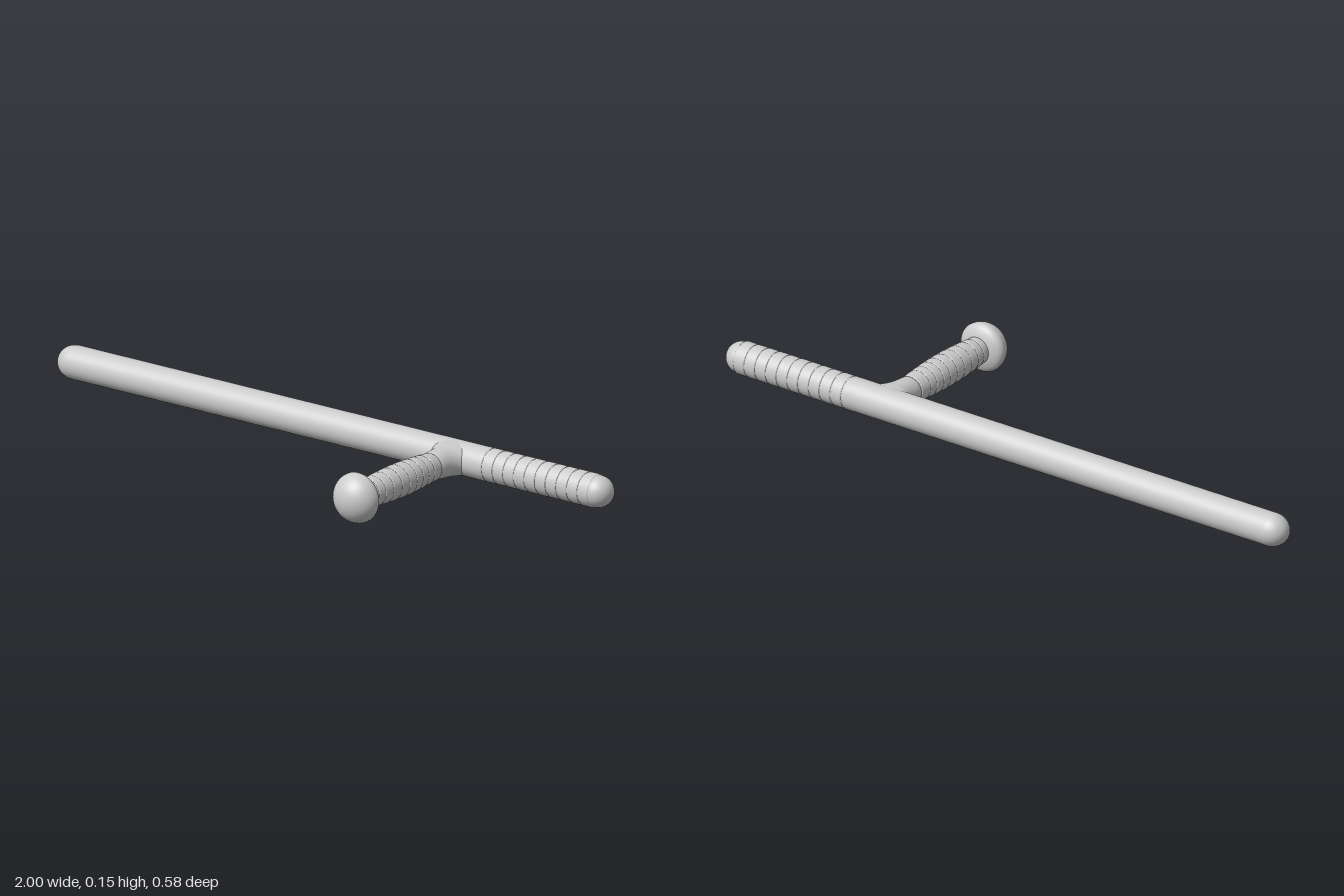
import * as THREE from 'three';

const SEG = 48;
const material = new THREE.MeshStandardMaterial({ color: 0xcccccc, side: THREE.DoubleSide });

// Turn a list of [radius, position] pairs around the y axis
const lathe = (pts) => new THREE.LatheGeometry(pts.map(([r, p]) => new THREE.Vector2(r, p)), SEG);

// Quarter ellipse from one [radius, position] angle to another
function arc(radius, height, base, from, to, steps = 12) {
  const pts = [];
  for (let i = 0; i <= steps; i++) {
    const a = from + ((to - from) * i) / steps;
    pts.push([Math.max(0, radius * Math.cos(a)), base + height * Math.sin(a)]);
  }
  return pts;
}

// Bands with softened edges, separated by narrow grooves at the given positions
function bands(grooves, radiusAt, depth, bevel) {
  const pts = [];
  for (let i = 0; i < grooves.length - 1; i++) {
    const a = grooves[i], b = grooves[i + 1];
    pts.push([radiusAt(a) - depth, a]);
    for (const p of [a + bevel * 0.4, a + bevel, a + bevel * 1.6, b - bevel * 1.6, b - bevel, b - bevel * 0.4]) {
      const edge = Math.min(p - a, b - p) < bevel * 0.6 ? depth * 0.35 : 0;
      pts.push([radiusAt(p) - edge, p]);
    }
  }
  const last = grooves[grooves.length - 1];
  pts.push([radiusAt(last) - depth, last]);
  return pts;
}

function part(name, geometry) {
  const mesh = new THREE.Mesh(geometry, material);
  mesh.name = name;
  return mesh;
}

export function createModel() {
  const model = new THREE.Group();
  model.name = 'sideHandleBaton';

  // Long shaft with a rounded end, a grooved short end and a rounded tip
  const R = 0.05;
  const shaftGrooves = Array.from({ length: 11 }, (_, i) => 0.565 + i * 0.0385);
  const shaft = part('shaft', lathe([
    ...arc(R, 0.055, -0.945, -Math.PI / 2, 0),
    [R, -0.93], [R, 0.55], [R, 0.561], [R - 0.001, 0.563],
    ...bands(shaftGrooves, () => R, 0.003, 0.003),
    ...arc(0.0475, 0.048, 0.952, 0, Math.PI / 2),
  ]).rotateZ(-Math.PI / 2));
  shaft.position.set(0, 0.076, -0.24);
  model.add(shaft);

  // Side handle, pointing forward from the shaft
  const handle = new THREE.Group();
  handle.name = 'sideHandle';
  handle.position.set(0.437, 0.076, 0);
  model.add(handle);

  // Neck: flares sideways where it blends into the shaft
  const neckGeometry = lathe([
    [0.0495, -0.235], [0.0492, -0.21], [0.0475, -0.195], [0.0465, -0.185],
    [0.0455, -0.17], [0.0442, -0.155], [0.043, -0.14], [0.0415, -0.125], [0.039, -0.121],
  ]).rotateX(Math.PI / 2);
  const pos = neckGeometry.attributes.position;
  for (let i = 0; i < pos.count; i++) {
    const t = Math.max(0, (-0.155 - pos.getZ(i)) / 0.045);
    pos.setX(i, pos.getX(i) * (1 + 0.36 * Math.min(t, 1.3) ** 2));
  }
  neckGeometry.computeVertexNormals();
  handle.add(part('neck', neckGeometry));

  // Grip: barrel-shaped, with ring grooves
  const gripGrooves = [-0.121, -0.082, -0.054, -0.024, 0.006, 0.04, 0.076, 0.113, 0.147, 0.176, 0.202];
  const gripRadius = (z) => 0.0405 + 0.0095 * Math.cos(((z - 0.035) / 0.17) * (Math.PI / 2));
  handle.add(part('grip', lathe(bands(gripGrooves, gripRadius, 0.0025, 0.003)).rotateX(Math.PI / 2)));

  // Mushroom knob with a cupped back
  handle.add(part('knob', lathe([
    [0.036, 0.2], [0.042, 0.2005], [0.047, 0.202], [0.054, 0.2045], [0.062, 0.2085],
    [0.068, 0.2125], [0.0725, 0.218],
    ...arc(0.0755, 0.065, 0.225, 0, Math.PI / 2, 16),
  ]).rotateX(Math.PI / 2)));

  return model;
}
